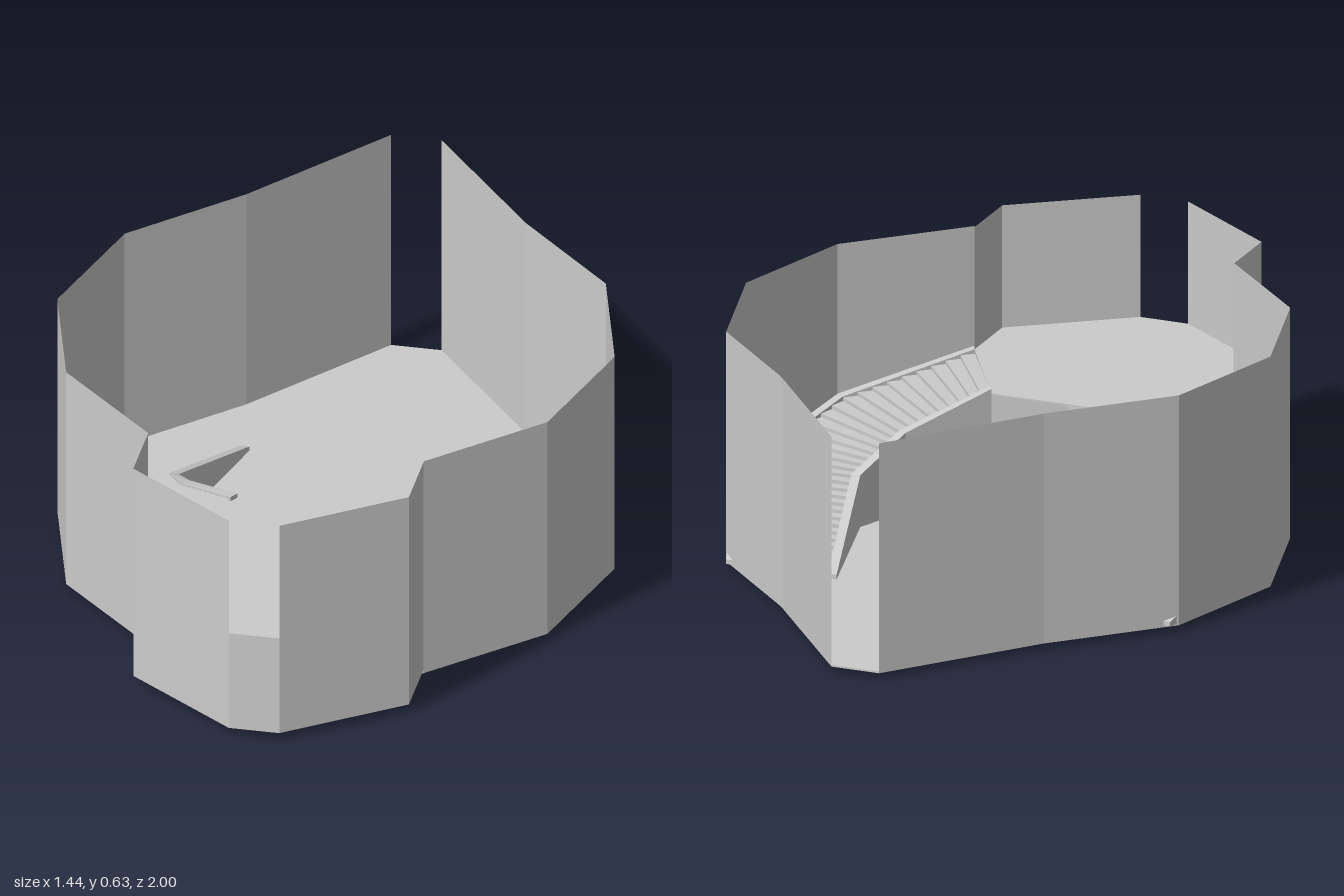
import * as THREE from 'three';

const material = new THREE.MeshStandardMaterial({ color: 0xcccccc, flatShading: true, side: THREE.DoubleSide });
const FLOOR = 0.02, DECK = 0.3, TOP = 0.63;
const CX = 0.02, CZ = 0.03; // centre of the round drain

function add(parent, name, geometry) {
  const mesh = new THREE.Mesh(geometry, material);
  mesh.name = name;
  parent.add(mesh);
  return mesh;
}

// Surface from four-cornered faces
function quads(list) {
  const p = [];
  for (const [a, b, c, d] of list) p.push(...a, ...b, ...c, ...a, ...c, ...d);
  const g = new THREE.BufferGeometry();
  g.setAttribute('position', new THREE.Float32BufferAttribute(p, 3));
  g.computeVertexNormals();
  return g;
}

// Thin upright wall along a plan polyline of [x, z]
function wall(path, y0, y1) {
  return quads(path.slice(1).map(([x, z], i) => {
    const [px, pz] = path[i];
    return [[px, y0, pz], [x, y0, z], [x, y1, z], [px, y1, pz]];
  }));
}

// Horizontal slab from a plan outline, with an optional round hole
function slab(outline, y0, y1, hole) {
  const s = new THREE.Shape(outline.map(([x, z]) => new THREE.Vector2(x, -z)));
  if (hole) s.holes.push(new THREE.Path().absarc(CX, -CZ, hole, 0, Math.PI * 2, true));
  return new THREE.ExtrudeGeometry(s, { depth: y1 - y0, bevelEnabled: false, curveSegments: 32 })
    .rotateX(-Math.PI / 2).translate(0, y0, 0);
}

const flip = path => path.map(([x, z]) => [-x, z]);
const symmetric = path => [...path, ...flip(path).reverse()];
const lerp = THREE.MathUtils.lerp;

// Plan of one staircase: outer and inner edges and steps per stretch
const outer = [[0.61, -0.4], [0.715, -0.01], [0.62, 0.35], [0.355, 0.605]];
const inner = [[0.305, -0.4], [0.405, -0.01], [0.345, 0.14], [0.185, 0.32]];
const steps = [14, 8, 9];
const total = steps.reduce((a, b) => a + b);

function staircase(side) {
  const group = new THREE.Group();
  // i: stretch, t: along it, u: across from outer to inner edge
  const at = (i, t, u, y) => {
    const o = [0, 1].map(k => lerp(outer[i][k], outer[i + 1][k], t));
    const n = [0, 1].map(k => lerp(inner[i][k], inner[i + 1][k], t));
    return [side * lerp(o[0], n[0], u), y, lerp(o[1], n[1], u)];
  };
  const treads = [], stringers = [];
  const U0 = 0.08, U1 = 0.92, lip = 0.012, rise = (DECK - FLOOR) / total;
  let done = 0;
  steps.forEach((count, i) => {
    for (let k = 0; k < count; k++) {
      const y0 = FLOOR + (done + k) * rise, y1 = y0 + rise;
      const t0 = k / count, t1 = (k + 1) / count;
      treads.push([at(i, t0, U0, y0), at(i, t0, U1, y0), at(i, t0, U1, y1), at(i, t0, U0, y1)]);
      treads.push([at(i, t0, U0, y1), at(i, t0, U1, y1), at(i, t1, U1, y1), at(i, t1, U0, y1)]);
    }
    // Sloping edge strips beside the treads
    const a = FLOOR + done * rise + lip, b = FLOOR + (done + count) * rise + lip;
    for (const [u, v] of [[0.005, U0], [U1, 1]]) {
      stringers.push([at(i, 0, u, a), at(i, 0, v, a), at(i, 1, v, b), at(i, 1, u, b)]);
      for (const w of [u, v]) {
        stringers.push([at(i, 0, w, FLOOR), at(i, 1, w, FLOOR), at(i, 1, w, b), at(i, 0, w, a)]);
      }
      if (i === 0) stringers.push([at(0, 0, u, FLOOR), at(0, 0, v, FLOOR), at(0, 0, v, a), at(0, 0, u, a)]);
      if (i === 2) stringers.push([at(2, 1, u, FLOOR), at(2, 1, v, FLOOR), at(2, 1, v, b), at(2, 1, u, b)]);
    }
    done += count;
  });
  add(group, 'treads', quads(treads));
  add(group, 'stringers', quads(stringers));
  return group;
}

export function createModel() {
  const model = new THREE.Group();
  const hall = [[0.065, -1], [0.36, -0.63], [0.62, -0.37], [0.718, -0.01], [0.62, 0.35], [0.355, 0.61]];
  const bay = [[0.355, 0.61], [0.355, 0.79], [0.065, 1]];

  // Floor, and the round base plate under it
  add(model, 'floor', slab(symmetric([...hall, [0.07, 0.76]]), 0.015, FLOOR, 0.14));
  const circle = Array.from({ length: 48 }, (_, i) => {
    const a = i / 48 * Math.PI * 2;
    return [CX + 0.28 * Math.cos(a), CZ + 0.28 * Math.sin(a)];
  });
  add(model, 'basePlate', slab(circle, 0, FLOOR + 0.002, 0.14));

  // Drain with parallel bars
  const drain = new THREE.Group();
  drain.name = 'drain';
  drain.position.set(CX, 0, CZ);
  model.add(drain);
  add(drain, 'drainBottom', new THREE.CylinderGeometry(0.14, 0.14, 0.003, 32)).position.y = 0.0015;
  add(drain, 'drainRim', new THREE.TorusGeometry(0.132, 0.008, 6, 32).rotateX(Math.PI / 2)).position.y = 0.02;
  for (let i = -4; i <= 4; i++) {
    const x = i * 0.027;
    const bar = add(drain, 'drainBar', new THREE.BoxGeometry(0.013, 0.014, 2 * Math.sqrt(0.13 ** 2 - x * x)));
    bar.position.set(x, 0.012, 0);
  }

  // Raised front deck, its underside and the walls below it
  const deck = symmetric([[0.185, 0.32], ...bay]);
  add(model, 'deck', slab(deck, DECK - 0.004, DECK));
  add(model, 'bayFloor', slab(symmetric(bay), 0.025, 0.03));
  add(model, 'deckFront', wall([[0.065, 1], [-0.065, 1]], 0.025, DECK));
  add(model, 'deckRetainingWall', wall([[0.185, 0.32], [0, 0.375], [-0.185, 0.32]], FLOOR, DECK));

  // Mirrored outer walls and stairs; gaps stay open at the front and back
  for (const side of [1, -1]) {
    const name = side > 0 ? 'left' : 'right';
    const place = path => (side > 0 ? path : flip(path));
    add(model, name + 'HallWall', wall(place(hall), 0.015, TOP));
    add(model, name + 'BayWall', wall(place(bay), 0.025, TOP - 0.003));
    const stairs = staircase(side);
    stairs.name = name + 'Stairs';
    model.add(stairs);
  }
  return model;
}
